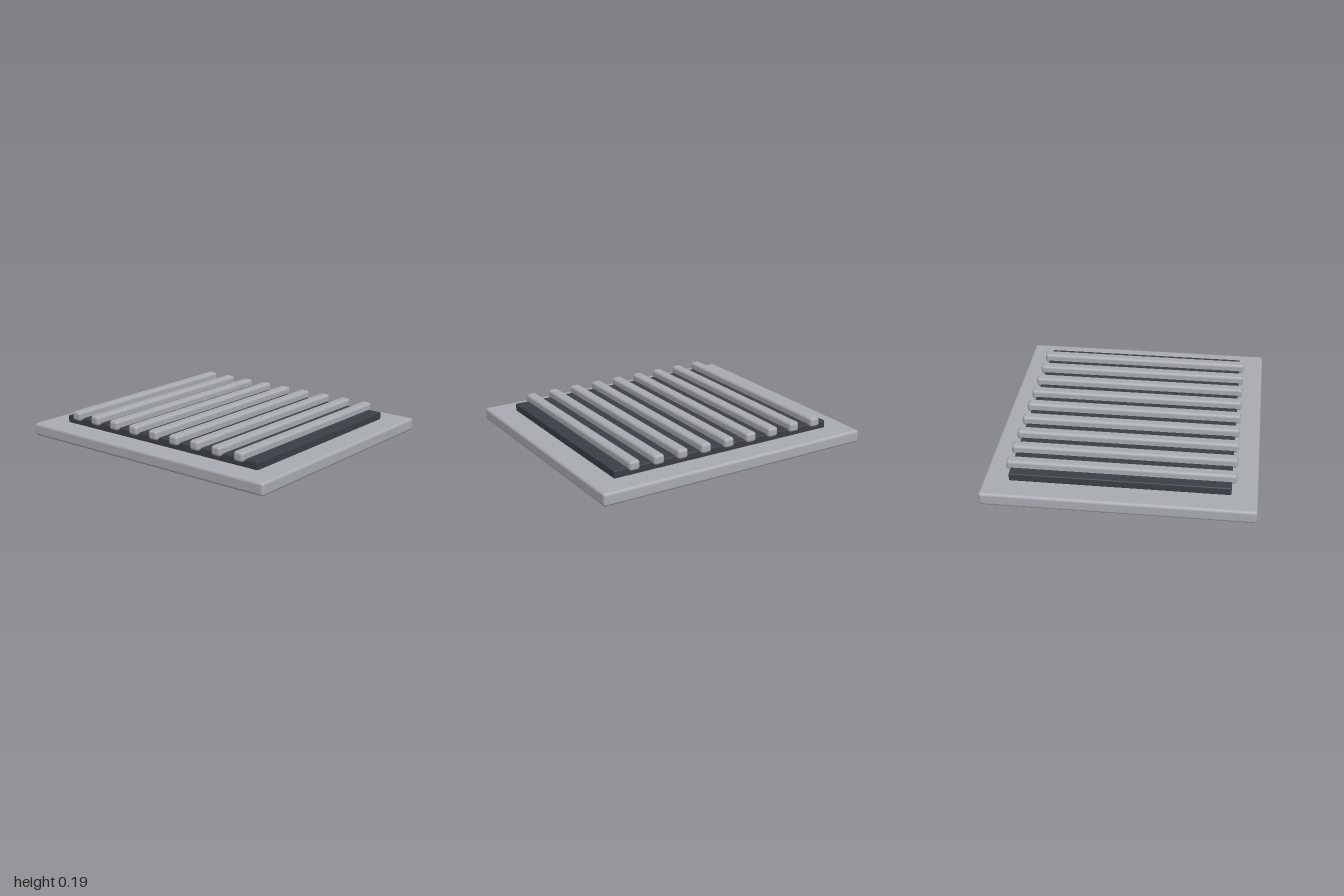
import * as THREE from 'three';
import { RoundedBoxGeometry } from 'three/addons/geometries/RoundedBoxGeometry.js';

export function createModel() {
  const group = new THREE.Group();
  const metal = new THREE.MeshStandardMaterial({ color: 0xa8abb0 });
  metal.name = 'light grey metal';
  const dark = new THREE.MeshStandardMaterial({ color: 0x3a3f45 });
  dark.name = 'dark grey';

  // Rounded block standing on height y
  const block = (name, w, h, d, radius, material, x, y) => {
    const mesh = new THREE.Mesh(new RoundedBoxGeometry(w, h, d, 3, radius), material);
    mesh.name = name;
    mesh.position.set(x, y + h / 2, 0);
    group.add(mesh);
  };

  // Base plate and the dark panel on it
  block('basePlate', 2, 0.089, 1.78, 0.02, metal, 0, 0);
  block('darkPanel', 1.666, 0.055, 1.44, 0.008, dark, 0, 0.085);

  // Row of bars running front to back
  for (let i = 0; i < 9; i++) {
    block(`grilleBar${i + 1}`, 0.075, 0.067, 1.5, 0.02, metal, -0.725 + i * 0.178, 0.121);
  }
  return group;
}
